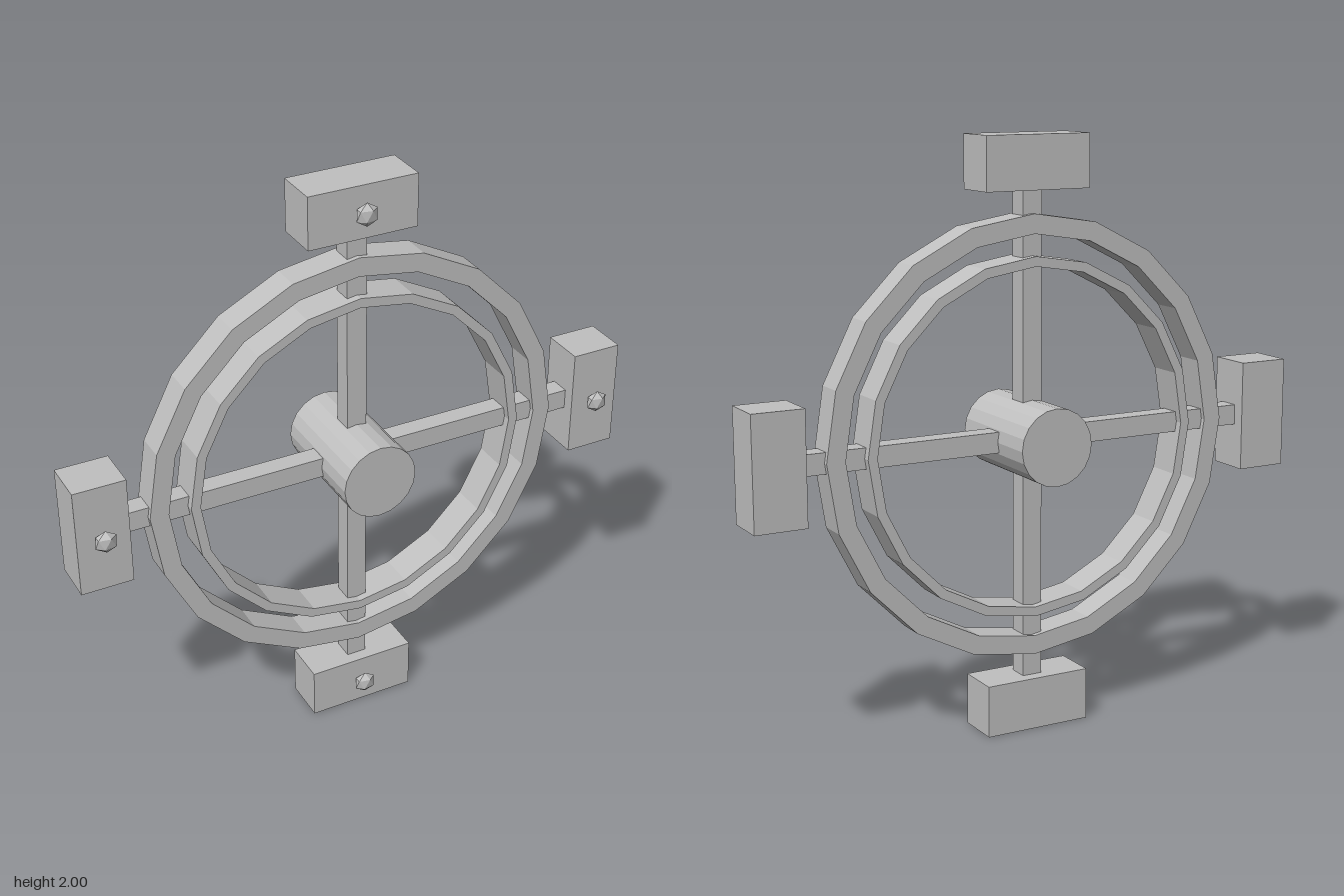
import * as THREE from 'three';

const grey = new THREE.MeshStandardMaterial({ color: 0xc0c0c0, flatShading: true });
grey.name = 'grey';

export function createModel() {
  const model = new THREE.Group();
  model.name = 'spokedWheel';

  // everything is built around the wheel centre, one unit above the ground
  const wheel = new THREE.Group();
  wheel.name = 'wheel';
  wheel.position.y = 1;
  model.add(wheel);

  const add = (name, geometry, x = 0, y = 0, z = 0) => {
    const mesh = new THREE.Mesh(geometry, grey);
    mesh.name = name;
    mesh.position.set(x, y, z);
    wheel.add(mesh);
    return mesh;
  };

  // twenty-sided ring with a rectangular section, axis along z
  const ring = (inner, outer, half) => {
    const section = [[inner, -half], [outer, -half], [outer, half], [inner, half], [inner, -half]];
    return new THREE.LatheGeometry(section.map(([r, h]) => new THREE.Vector2(r, h)), 20).rotateX(Math.PI / 2);
  };
  add('outerRing', ring(0.68, 0.745, 0.052));
  add('innerRing', ring(0.575, 0.608, 0.062));

  // hub and crossing spokes
  add('hub', new THREE.CylinderGeometry(0.13, 0.13, 0.4, 20).rotateX(Math.PI / 2));
  add('verticalSpoke', new THREE.BoxGeometry(0.07, 1.7, 0.07));
  add('horizontalSpoke', new THREE.BoxGeometry(1.7, 0.07, 0.07));

  // end blocks, each with a flattened faceted stud on the front
  const stud = new THREE.IcosahedronGeometry(0.04, 0)
    .rotateZ(-Math.atan(2 / (1 + Math.sqrt(5))))
    .scale(1, 1, 0.58);
  for (const [name, dx, dy] of [['top', 0, 1], ['left', 1, 0], ['bottom', 0, -1], ['right', -1, 0]]) {
    const block = dx ? new THREE.BoxGeometry(0.178, 0.38, 0.156) : new THREE.BoxGeometry(0.38, 0.178, 0.156);
    add(name + 'Block', block, dx * 0.911, dy * 0.911);
    add(name + 'Stud', stud, dx * 0.911, dy * 0.911, 0.1);
  }
  return model;
}
